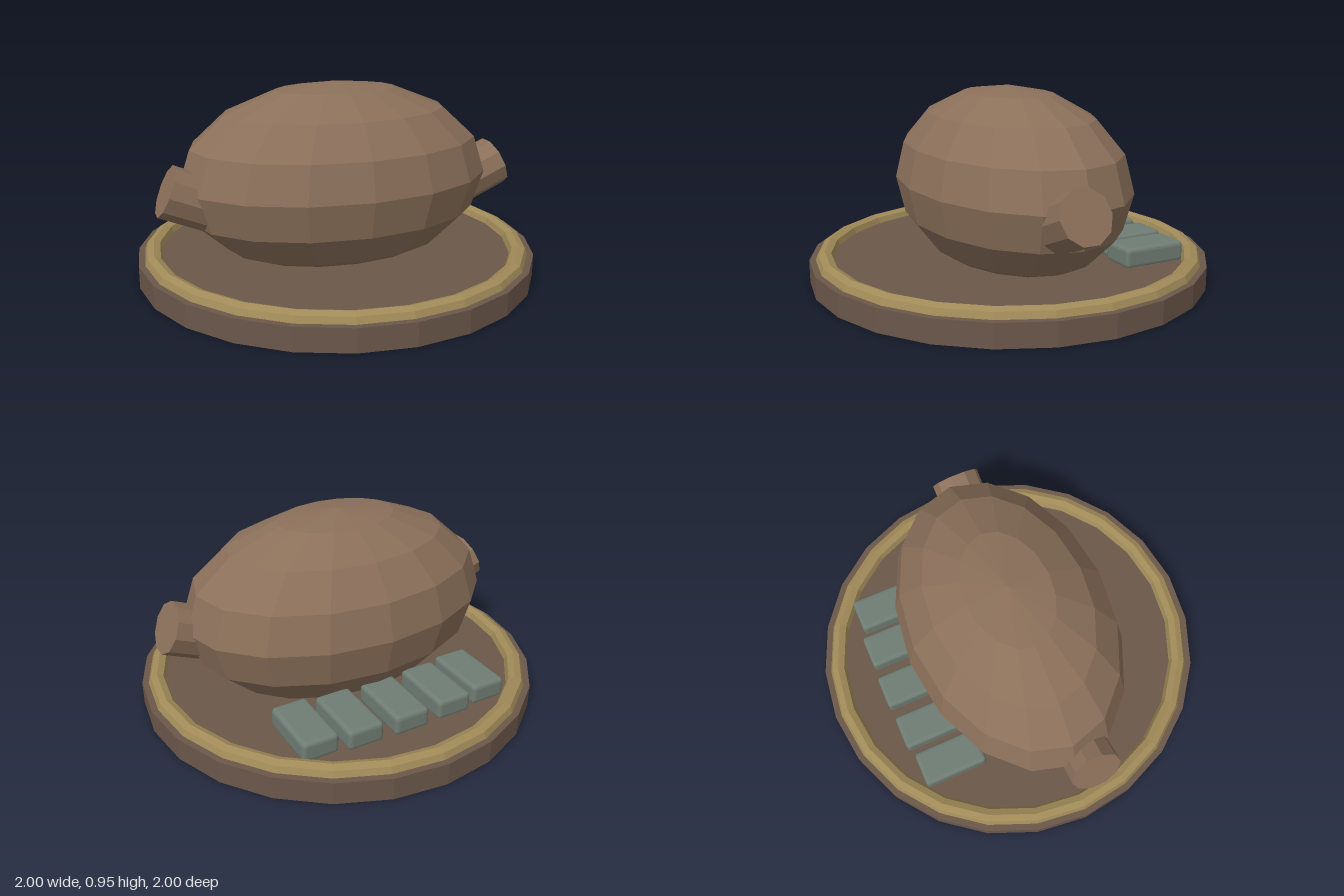
import * as THREE from 'three';
import { RoundedBoxGeometry } from 'three/addons/geometries/RoundedBoxGeometry.js';

const mat = (color) => new THREE.MeshStandardMaterial({ color, flatShading: true });

export function createModel() {
  const group = new THREE.Group();
  const brown = mat(0x8b705a), darkBrown = mat(0x6b574a), gold = mat(0xa08a58), slate = mat(0x6f7d74);

  const add = (name, geometry, material, x, y, z) => {
    const mesh = new THREE.Mesh(geometry, material);
    mesh.name = name;
    mesh.position.set(x, y, z);
    group.add(mesh);
    return mesh;
  };

  // Round plate with a raised rim
  add('basePlate', new THREE.CylinderGeometry(1, 1, 0.112, 24), darkBrown, 0, 0.056, 0);
  const rim = add('rim', new THREE.TorusGeometry(0.925, 0.045, 8, 24), gold, 0, 0.11, 0);
  rim.rotation.x = -Math.PI / 2;

  // Faceted egg-shaped body, sunk into the plate
  const body = add('body', new THREE.SphereGeometry(1, 16, 8), brown, 0, 0.48, 0);
  body.scale.set(0.795, 0.475, 0.532);

  // Stubby limbs tilted upward on both sides
  const tilt = 0.4, length = 0.36;
  for (const side of [1, -1]) {
    const limb = add(side > 0 ? 'leftLimb' : 'rightLimb',
      new THREE.CylinderGeometry(0.128, 0.128, length, 10), brown,
      side * (0.865 - Math.cos(tilt) * length / 2), 0.495 - Math.sin(tilt) * length / 2, 0.075);
    limb.rotation.z = -side * (Math.PI / 2 - tilt);
  }

  // Row of rounded blocks along a gentle arc at the back
  const backEdges = [-0.69, -0.713, -0.72, -0.713, -0.69];
  [-0.457, -0.24, 0, 0.24, 0.457].forEach((x, i) => {
    add('block' + (i + 1), new RoundedBoxGeometry(0.18, 0.1, 0.33, 2, 0.02), slate,
      x, 0.154, backEdges[i] + 0.165);
  });

  return group;
}
